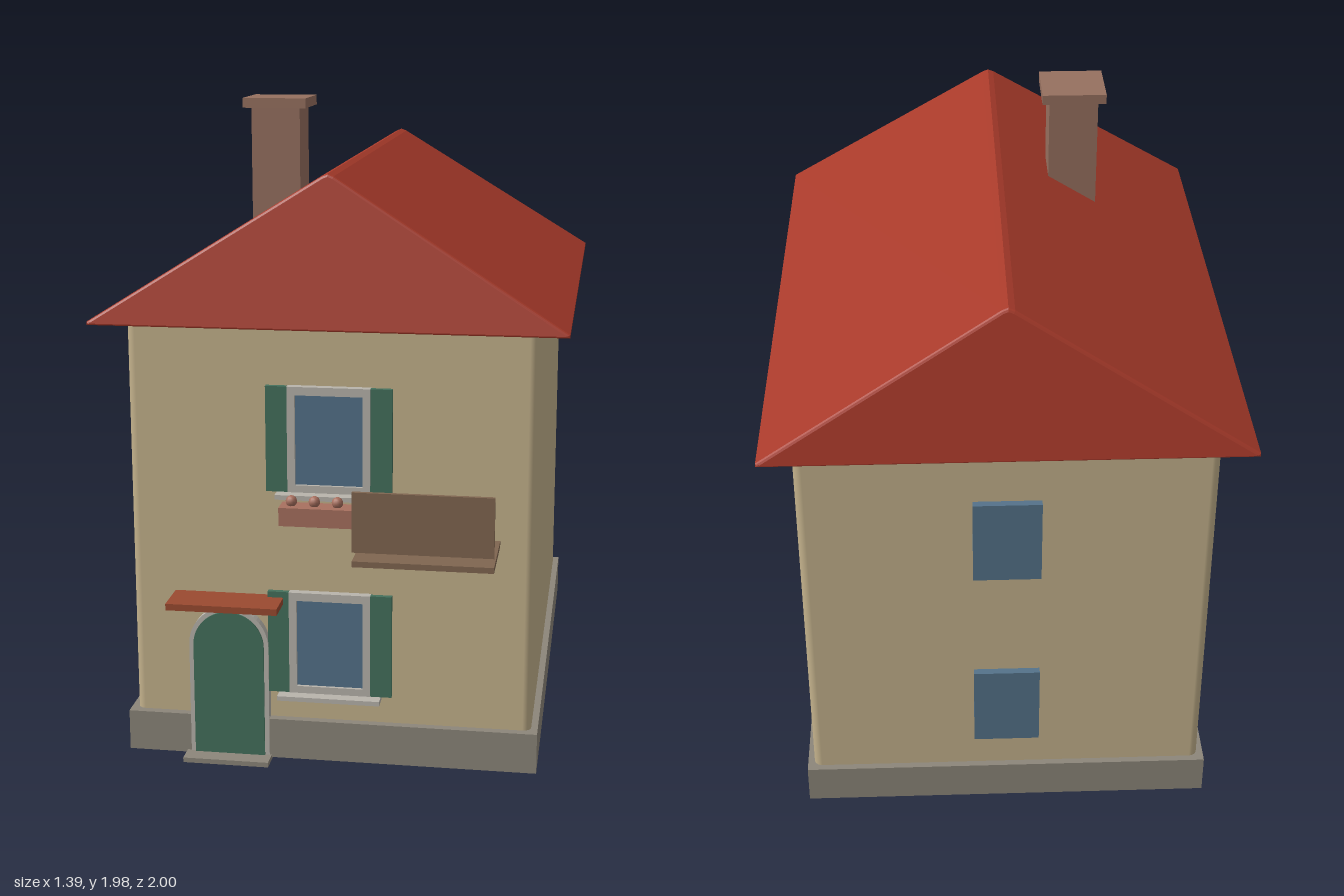
import * as THREE from 'three';
import { RoundedBoxGeometry } from 'three/addons/geometries/RoundedBoxGeometry.js';

const paint = (color) => new THREE.MeshStandardMaterial({ color });
const wallMat = paint(0xc4b28c), roofMat = paint(0xa83a2a), stoneMat = paint(0x8c867a);
const greenMat = paint(0x44705c), glassMat = paint(0x54728a), frameMat = paint(0xb8b4ac);
const woodMat = paint(0x806650), brickMat = paint(0x96705f), potMat = paint(0xa8705f);
const tileMat = paint(0x9a4a30);

export function createModel() {
  const house = new THREE.Group();
  house.name = 'house';

  const add = (name, geometry, material, parent = house) => {
    const mesh = new THREE.Mesh(geometry, material);
    mesh.name = name;
    parent.add(mesh);
    return mesh;
  };
  // Box given by its limits on each axis; a radius rounds the edges
  const box = (name, [x0, x1], [y0, y1], [z0, z1], material, parent, radius = 0) => {
    const size = [x1 - x0, y1 - y0, z1 - z0];
    const geometry = radius ? new RoundedBoxGeometry(...size, 3, radius) : new THREE.BoxGeometry(...size);
    const mesh = add(name, geometry, material, parent);
    mesh.position.set((x0 + x1) / 2, (y0 + y1) / 2, (z0 + z1) / 2);
    return mesh;
  };
  // Flat shape pushed forward from z0 to z1
  const slab = (name, shape, z0, z1, material, parent) => {
    const geometry = new THREE.ExtrudeGeometry(shape, { depth: z1 - z0, bevelEnabled: false, curveSegments: 16 });
    return add(name, geometry.translate(0, 0, z0), material, parent);
  };
  const polygon = (points) => new THREE.Shape(points.map(([x, y]) => new THREE.Vector2(x, y)));
  const rect = (x0, x1, y0, y1) => polygon([[x0, y0], [x1, y0], [x1, y1], [x0, y1]]);

  // Walls and plinth
  box('walls', [-0.605, 0.605], [0.03, 1.372], [-0.895, 0.735], wallMat, house, 0.025);
  box('plinth', [-0.625, 0.625], [0.02, 0.145], [-0.915, 0.76], stoneMat);

  // Roof: gable prism whose ends lean inward towards the ridge
  const eave = 1.363, ridge = 1.8, midZ = -0.08;
  const gable = polygon([[-0.693, eave], [0.693, eave], [0.693, 1.373], [0.018, 1.793],
    [0, ridge], [-0.018, 1.793], [-0.693, 1.373]]);
  const bevel = 0.008;
  const roof = new THREE.ExtrudeGeometry(gable, {
    depth: 1.84 - 2 * bevel, bevelThickness: bevel, bevelSize: bevel, bevelOffset: -bevel, bevelSegments: 2,
  }).translate(0, 0, -0.92 + bevel);
  const p = roof.attributes.position;
  for (let i = 0; i < p.count; i++) {
    const rise = (p.getY(i) - eave) / (ridge - eave);
    p.setZ(i, midZ + p.getZ(i) * (1 - 0.092 * rise));
  }
  roof.computeVertexNormals();
  add('roof', roof, roofMat);

  // Chimney
  const chimney = new THREE.Group();
  chimney.name = 'chimney';
  house.add(chimney);
  box('chimneyShaft', [-0.322, -0.17], [1.45, 1.95], [0.105, 0.257], brickMat, chimney);
  box('chimneyCap', [-0.345, -0.147], [1.95, 1.98], [0.083, 0.28], brickMat, chimney);

  // Front windows with shutters, and plain panes on the back
  [0.235, 0.865].forEach((y, floor) => {
    const win = new THREE.Group();
    win.name = floor ? 'upperWindow' : 'lowerWindow';
    house.add(win);
    const frame = rect(-0.123, 0.123, y, y + 0.318);
    frame.holes.push(rect(-0.1, 0.1, y + 0.022, y + 0.293));
    slab('windowFrame', frame, 0.73, 0.76, frameMat, win);
    box('windowPane', [-0.1, 0.1], [y + 0.022, y + 0.293], [0.73, 0.75], glassMat, win);
    for (const s of [-1, 1]) {
      const shutter = box('shutter', [-0.032, 0.032], [y, y + 0.318], [0.742, 0.758], greenMat, win);
      shutter.position.x = s * 0.155;
    }
    box('windowSill', [-0.155, 0.155], [y - 0.014, y], [0.735, 0.795], frameMat, win);
    box('backPane', [-0.1, 0.1], [y + 0.025, y + 0.293], [-0.917, -0.89], glassMat, win);
  });

  // Flower box under the upper window
  const flowers = new THREE.Group();
  flowers.name = 'flowerBox';
  house.add(flowers);
  box('planter', [-0.135, 0.135], [0.785, 0.84], [0.775, 0.84], potMat, flowers);
  for (let i = 0; i < 4; i++) {
    const bloom = add('flower', new THREE.SphereGeometry(0.017, 12, 8), potMat, flowers);
    bloom.position.set(-0.102 + i * 0.068, 0.853, 0.808);
  }

  // Balcony floor and its front panel
  box('balconyFloor', [0.105, 0.505], [0.725, 0.742], [0.755, 1], woodMat);
  box('balconyPanel', [0.105, 0.505], [0.768, 0.943], [0.988, 1], woodMat);

  // Arched door, surround, canopy and step
  const arch = (halfWidth, bottom) => {
    const shape = new THREE.Shape();
    shape.moveTo(-0.308 - halfWidth, bottom);
    shape.lineTo(-0.308 + halfWidth, bottom);
    shape.lineTo(-0.308 + halfWidth, 0.375);
    shape.absarc(-0.308, 0.375, halfWidth, 0, Math.PI, false);
    return shape;
  };
  slab('doorSurround', arch(0.122, 0), 0.73, 0.763, frameMat);
  slab('door', arch(0.108, 0.025), 0.735, 0.768, greenMat);
  box('doorCanopy', [-0.475, -0.14], [0.515, 0.535], [0.735, 0.86], tileMat);
  box('doorStep', [-0.443, -0.18], [0.013, 0.028], [0.74, 0.82], stoneMat);

  return house;
}
